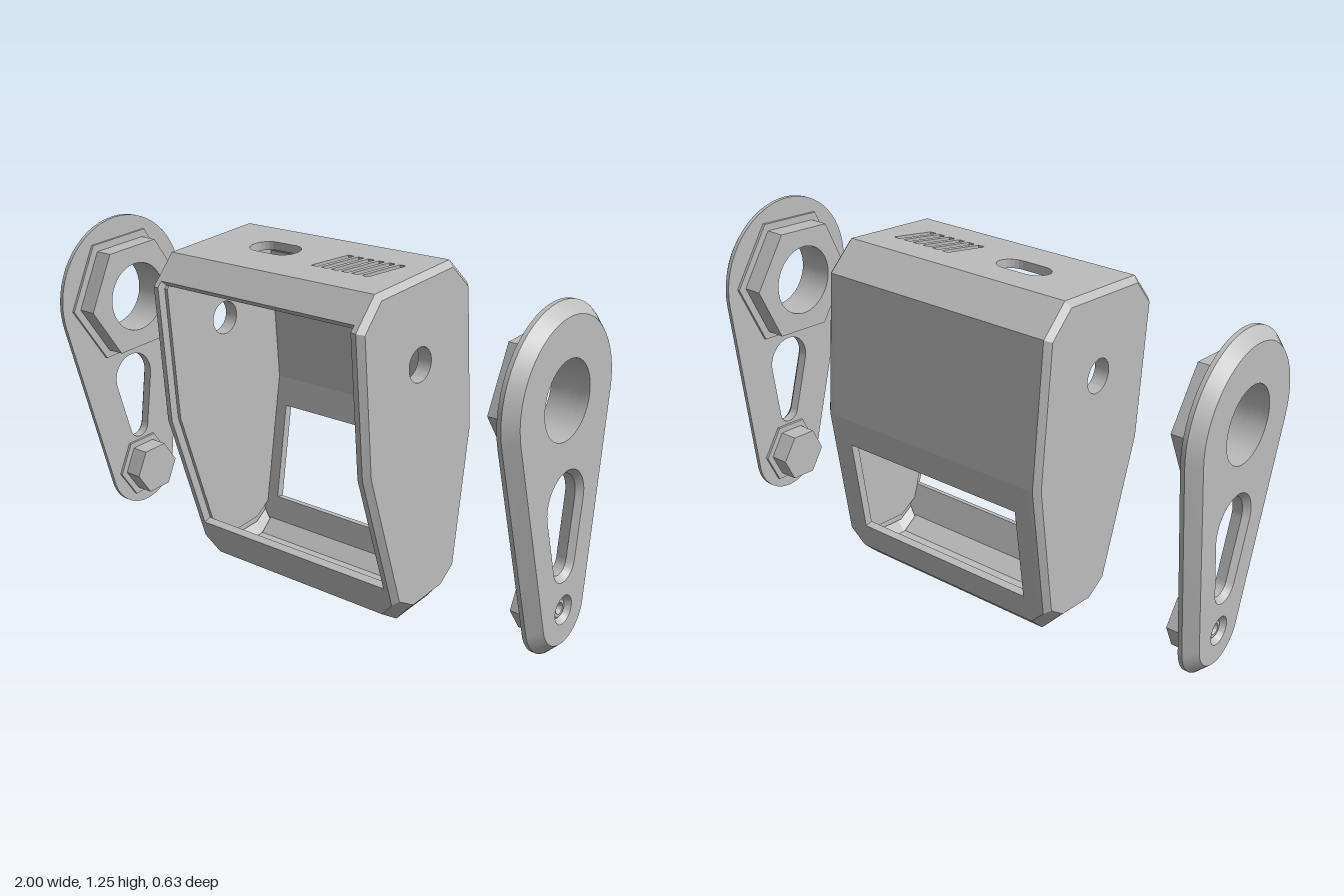
import * as THREE from 'three';
import { toCreasedNormals } from 'three/addons/utils/BufferGeometryUtils.js';

const grey = new THREE.MeshStandardMaterial({ color: 0xbcbcbc, side: THREE.DoubleSide });
grey.name = 'plain grey';

function add(group, name, geometry) {
  const mesh = new THREE.Mesh(geometry, grey);
  mesh.name = name;
  group.add(mesh);
  return mesh;
}

const toShape = (pts) => new THREE.Shape(pts.map((p) => new THREE.Vector2(p[0], p[1])));

function shapeWithHoles(pts, holes = []) {
  const shape = toShape(pts);
  holes.forEach((h) => shape.holes.push(toShape(h)));
  return shape;
}

// Side-profile plate: points are [z, y]; outer face at x, running inward by depth
function plate(pts, holes, x, depth) {
  const shape = shapeWithHoles(pts, holes);
  const geo = depth
    ? new THREE.ExtrudeGeometry(shape, { depth, bevelEnabled: false })
    : new THREE.ShapeGeometry(shape);
  return toCreasedNormals(geo.rotateY(-Math.PI / 2).translate(x, 0, 0), 0.4);
}

// Band of faces between two matching [z, y] outlines at xa and xb
function band(a, xa, b, xb, closed = true) {
  const pos = [];
  for (let i = 0; i < a.length - (closed ? 0 : 1); i++) {
    const j = (i + 1) % a.length;
    const q = [[xa, a[i]], [xa, a[j]], [xb, b[j]], [xb, b[i]]];
    [0, 1, 2, 0, 2, 3].forEach((k) => pos.push(q[k][0], q[k][1][1], q[k][1][0]));
  }
  const geo = new THREE.BufferGeometry();
  geo.setAttribute('position', new THREE.Float32BufferAttribute(pos, 3));
  return toCreasedNormals(geo, 0.4);
}

// Outline round two circles of different size (c1 above c2)
function teardrop(c1, r1, c2, r2, n = 32) {
  const dx = c1[0] - c2[0], dy = c1[1] - c2[1];
  const axis = Math.atan2(dy, dx);
  const half = Math.acos((r2 - r1) / Math.hypot(dx, dy));
  const pts = [];
  const arc = (c, r, from, to) => {
    for (let i = 0; i <= n; i++) {
      const t = from + ((to - from) * i) / n;
      pts.push([c[0] + r * Math.cos(t), c[1] + r * Math.sin(t)]);
    }
  };
  arc(c1, r1, axis - half, axis + half);
  arc(c2, r2, axis + half, axis + 2 * Math.PI - half);
  return pts;
}

function ring(c, r, n = 48, turn = 0) {
  return Array.from({ length: n }, (_, i) => {
    const t = turn + (i / n) * Math.PI * 2;
    return [c[0] + r * Math.cos(t), c[1] + r * Math.sin(t)];
  });
}

// Convex counter-clockwise outline moved inward by d
function inset(pts, d) {
  const n = pts.length;
  const normal = (a, b) => {
    const l = Math.hypot(b[0] - a[0], b[1] - a[1]);
    return [-(b[1] - a[1]) / l, (b[0] - a[0]) / l];
  };
  return pts.map((p, i) => {
    const u = normal(pts[(i + n - 1) % n], p), v = normal(p, pts[(i + 1) % n]);
    const k = d / (1 + u[0] * v[0] + u[1] * v[1]);
    return [p[0] + (u[0] + v[0]) * k, p[1] + (u[1] + v[1]) * k];
  });
}

// Flat wall from a to b ([z, y]); widths lists [distance, halfWidth], holes use (x, distance)
function wall(a, b, widths, holes = []) {
  const t = new THREE.Vector3(0, b[1] - a[1], b[0] - a[0]);
  const len = t.length();
  t.normalize();
  const rows = widths.map(([s, w]) => [Math.min(s, 1) * len, w]);
  const pts = [...rows.map(([s, w]) => [w, s]), ...rows.slice().reverse().map(([s, w]) => [-w, s])];
  const depth = 0.03;
  const geo = new THREE.ExtrudeGeometry(shapeWithHoles(pts, holes), { depth, bevelEnabled: false, curveSegments: 12 });
  geo.translate(0, 0, -depth);
  const x = new THREE.Vector3(1, 0, 0);
  const m = new THREE.Matrix4().makeBasis(x, t, x.clone().cross(t));
  return geo.applyMatrix4(m.setPosition(0, a[1], a[0]));
}

const capsule = (x, y, half, r) => teardrop([x + half - r, y], r, [x - half + r, y], r, 12);

function createHousing() {
  const g = new THREE.Group();
  g.name = 'housing';
  const F0 = [0.083, 0.05], F1 = [0.272, 0.616], F2 = [0.315, 1.11];
  const T0 = [0.225, 1.215], T1 = [-0.166, 1.253];
  const B0 = [-0.272, 1.16], B1 = [-0.315, 0.65], B2 = [-0.23, 0.08];
  const G0 = [-0.166, 0.017], G1 = [0, 0];
  const W = 0.44, N = 0.385;
  const full = [[0, W], [1, W]], narrow = [[0, N], [1, N]];

  // Roof with button slot and slanted vents
  const vents = Array.from({ length: 6 }, (_, i) => {
    const x = 0.08 + i * 0.0425;
    return [[x, 0.125], [x + 0.025, 0.125], [x + 0.065, 0.27], [x + 0.04, 0.27]];
  });
  add(g, 'roof', wall(T0, T1, full, [capsule(-0.15, 0.21, 0.1, 0.055), ...vents]));
  add(g, 'frontTopChamfer', wall([0.298, 1.13], T0, full));
  add(g, 'backTopChamfer', wall(T1, B0, full));
  add(g, 'upperBack', wall(B0, B1, full));
  // Lower back with window
  add(g, 'lowerBack', wall(B1, B2, [[0, W], [0.895, W], [1, N]],
    [[[-0.36, 0.111], [0.36, 0.111], [0.36, 0.475], [-0.36, 0.475]]]));
  add(g, 'backBottomChamfer', wall(B2, G0, narrow));
  add(g, 'floor', wall(G0, G1, narrow, [capsule(-0.03, 0.083, 0.11, 0.032)]));
  add(g, 'frontBottomChamfer', wall(G1, F0, narrow));
  add(g, 'frontLip', wall(F0, [0.125, 0.175], [[0, N], [0.48, W], [1, W]]));

  // Side walls with axle hole, chamfered edges and cut bottom corners
  const low = [[-0.239, 0.14], [-0.16, 0.08], [0.01, 0.06], [0.103, 0.11]];
  const edge = [low[3], F1, F2, T0, T1, B0, B1, low[0], low[1], low[2]];
  const face = inset(edge, 0.02);
  const hole = ring([0.005, 0.942], 0.06);
  for (const side of [1, -1]) {
    const s = new THREE.Group();
    s.name = side > 0 ? 'leftSide' : 'rightSide';
    s.scale.x = side;
    add(s, 'sideWall', plate(edge, [hole], W, 0.02));
    add(s, 'sideLining', plate(inset(edge, 0.03), [hole], 0.42, 0.013));
    add(s, 'edgeChamfer', band(edge, W, face, 0.46));
    add(s, 'sideFace', plate(face, [hole], 0.46, 0));
    add(s, 'axleHole', band(hole, W, hole, 0.46));
    add(s, 'bottomCorner', band([B2, G0, G1, F0], N, low, W, false));
    g.add(s);
  }
  return g;
}

function createArm(side) {
  const g = new THREE.Group();
  g.name = side > 0 ? 'leftArm' : 'rightArm';
  g.scale.x = side;
  const big = [0.005, 0.942], small = [-0.057, 0.222];
  const outline = teardrop(big, 0.3, small, 0.16);
  const face = teardrop(big, 0.262, small, 0.121);
  const slotTop = [-0.025, 0.602], slotLow = [-0.043, 0.388];
  const slotOuter = teardrop(slotTop, 0.108, slotLow, 0.063);
  const slotInner = teardrop(slotTop, 0.09, slotLow, 0.045);
  const bore = ring(big, 0.13), screw = ring(small, 0.05);

  // Teardrop plate with chamfered rim
  add(g, 'armPlate', plate(outline, [bore, slotInner], 0.96, 0.015));
  add(g, 'armChamfer', band(outline, 0.96, face, 1));
  add(g, 'armFace', plate(face, [bore, slotOuter, screw], 1, 0));
  add(g, 'slotChamfer', band(slotOuter, 1, slotInner, 0.98));
  add(g, 'slotWall', band(slotInner, 0.98, slotInner, 0.96));
  add(g, 'boreWall', band(bore, 1, bore, 0.96));

  // Stepped hexagonal bosses on the inner face
  const turn = -0.087;
  add(g, 'largePad', plate(ring(big, 0.257, 6, turn), [bore], 0.945, 0.01));
  add(g, 'largeHexBoss', plate(ring(big, 0.226, 6, turn), [bore], 0.935, 0.07));
  add(g, 'smallPad', plate(ring(small, 0.127, 6, turn), [], 0.945, 0.01));
  add(g, 'smallHexBoss', plate(ring(small, 0.101, 6, turn), [], 0.935, 0.07));

  // Countersunk screw seat
  const seat = [[0, -0.035], [0.012, -0.035], [0.02, -0.015], [0.03, -0.015], [0.036, -0.02], [0.05, 0]];
  const lathe = new THREE.LatheGeometry(seat.map((p) => new THREE.Vector2(p[0], p[1])), 48);
  lathe.rotateZ(-Math.PI / 2).translate(1, small[1], small[0]);
  add(g, 'screwSeat', toCreasedNormals(lathe, 0.4));
  return g;
}

export function createModel() {
  const model = new THREE.Group();
  model.name = 'housingWithArms';
  model.add(createHousing(), createArm(1), createArm(-1));
  return model;
}
